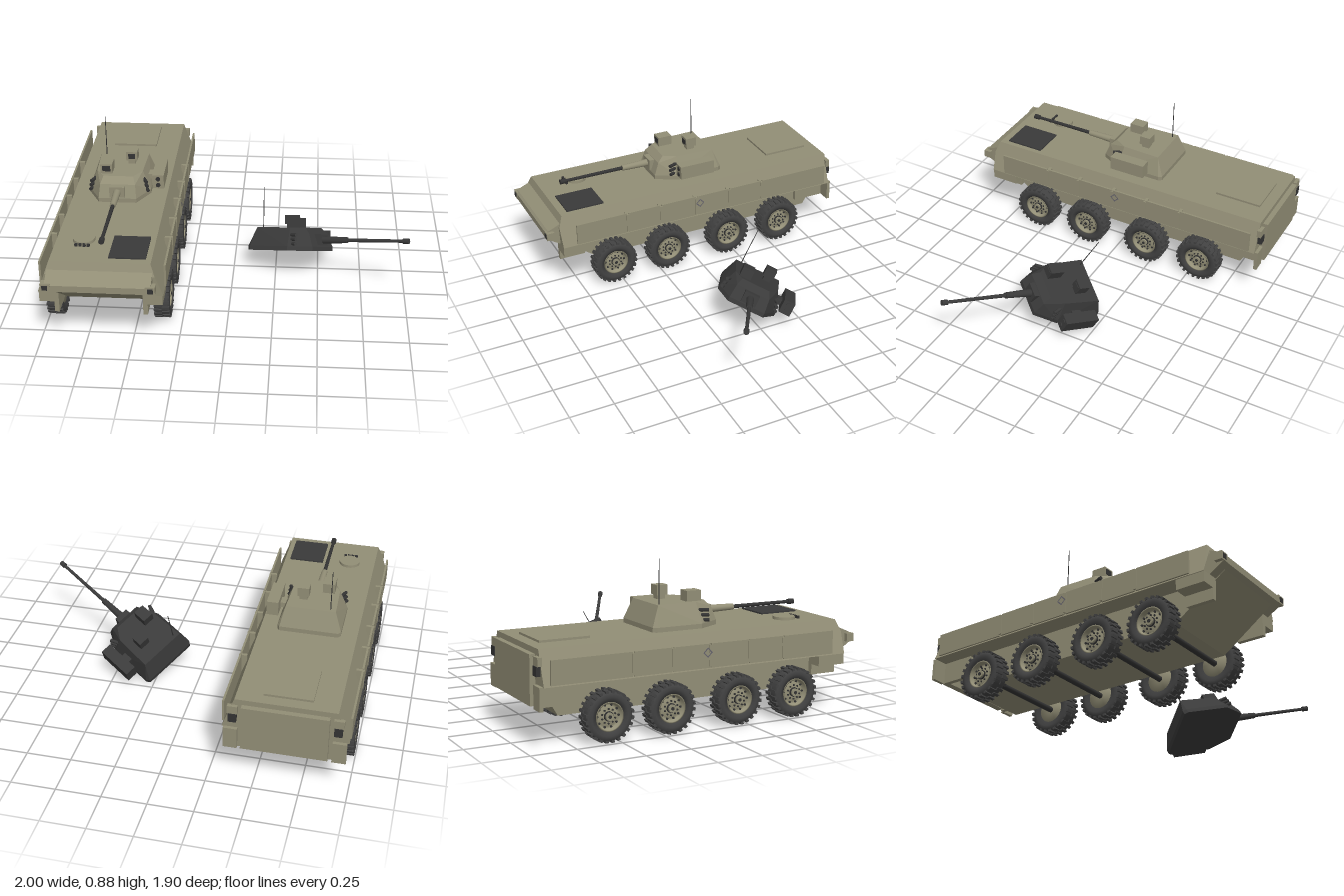
import * as THREE from 'three';
import { ConvexGeometry } from 'three/addons/geometries/ConvexGeometry.js';

const mat = (name, color, side = THREE.FrontSide) => {
  const m = new THREE.MeshStandardMaterial({ color, side });
  m.name = name;
  return m;
};
const paint = mat('olive paint', 0x928e76);
const char = mat('burnt metal', 0x3a3a3a);
const rubber = mat('tyre rubber', 0x424242);
const dark = mat('dark metal', 0x333333);
const mark = mat('marking grey', 0x66646c);

const V = (x, y, z) => new THREE.Vector3(x, y, z);

function add(parent, name, geo, material, x = 0, y = 0, z = 0) {
  const m = new THREE.Mesh(geo, material);
  m.name = name;
  m.position.set(x, y, z);
  parent.add(m);
  return m;
}

// box given by its min and max on each axis
function box(parent, name, material, [x0, x1], [y0, y1], [z0, z1]) {
  return add(parent, name, new THREE.BoxGeometry(x1 - x0, y1 - y0, z1 - z0), material,
    (x0 + x1) / 2, (y0 + y1) / 2, (z0 + z1) / 2);
}

// mirrored pair of boxes on both sides of x = 0
function boxPair(parent, name, material, [a, b], y, z) {
  box(parent, name + 'Left', material, [a, b], y, z);
  box(parent, name + 'Right', material, [-b, -a], y, z);
}

// rod along z from z0 to z1
function rodZ(parent, name, material, r0, r1, x, y, z0, z1, n = 16) {
  const g = new THREE.CylinderGeometry(r1, r0, z1 - z0, n).rotateX(Math.PI / 2);
  return add(parent, name, g, material, x, y, (z0 + z1) / 2);
}

// convex solid from (half width, y, z) points mirrored across x = 0
function solid(parent, name, material, pts) {
  const all = pts.flatMap(([x, y, z]) => [V(x, y, z), V(-x, y, z)]);
  return add(parent, name, new ConvexGeometry(all), material);
}

// turret with gun, sights, launcher and antenna; origin at the ring centre
function makeTurret(name, body, metal) {
  const t = new THREE.Group();
  t.name = name;
  solid(t, 'turretBody', body, [
    [0.165, 0, -0.235], [0.178, 0, -0.215], [0.178, 0, 0.053], [0.108, 0, 0.18],
    [0.165, 0.025, -0.235], [0.178, 0.025, -0.215], [0.178, 0.025, 0.053], [0.108, 0.025, 0.18],
    [0.14, 0.135, -0.19], [0.132, 0.135, 0.04], [0.085, 0.135, 0.115], [0.1, 0.1, 0.152],
  ]);
  // gun
  box(t, 'gunMantlet', body, [-0.044, 0.044], [0.034, 0.098], [0.1, 0.187]);
  rodZ(t, 'gunSleeve', body, 0.022, 0.017, 0, 0.066, 0.18, 0.35);
  rodZ(t, 'gunBarrel', metal, 0.011, 0.009, 0, 0.066, 0.34, 0.74);
  rodZ(t, 'muzzle', metal, 0.015, 0.015, 0, 0.066, 0.715, 0.75);
  // sights
  box(t, 'gunnerSight', body, [-0.106, -0.038], [0.13, 0.192], [0, 0.086]);
  box(t, 'gunnerSightGlass', metal, [-0.095, -0.049], [0.15, 0.182], [0.085, 0.089]);
  box(t, 'commanderSightPost', body, [0.035, 0.078], [0.13, 0.165], [-0.098, -0.052]);
  box(t, 'commanderSight', body, [0.025, 0.09], [0.158, 0.212], [-0.108, -0.042]);
  box(t, 'commanderSightGlass', metal, [0.038, 0.077], [0.17, 0.2], [-0.043, -0.039]);
  // missile launcher
  box(t, 'launcherArm', body, [0.13, 0.2], [0.055, 0.085], [-0.08, -0.02]);
  box(t, 'missileLauncher', body, [0.188, 0.255], [0.04, 0.122], [-0.148, 0.07]);
  for (const y of [0.062, 0.1]) rodZ(t, 'missileTube', metal, 0.013, 0.013, 0.222, y, 0.05, 0.075);
  // smoke launchers
  for (const s of [-1, 1]) for (const y of [0.04, 0.066, 0.092]) {
    const d = rodZ(t, 'smokeLauncher', metal, 0.01, 0.01, s * (0.162 - y * 0.15), y, 0.045, 0.105, 10);
    d.rotation.y = s * 0.4;
  }
  add(t, 'antenna', new THREE.CylinderGeometry(0.002, 0.003, 0.25, 6), metal, -0.108, 0.25, -0.168);
  return t;
}

// wheel with its axle along x, outer face toward +x
function makeWheel() {
  const w = new THREE.Group();
  w.name = 'wheel';
  const profile = [[0.074, -0.036], [0.1, -0.045], [0.121, -0.041], [0.128, -0.03], [0.128, 0.03],
    [0.121, 0.041], [0.1, 0.045], [0.074, 0.036], [0.074, -0.036]].map(p => new THREE.Vector2(...p));
  add(w, 'tyre', new THREE.LatheGeometry(profile, 32).rotateZ(-Math.PI / 2), rubber);
  const lug = new THREE.BoxGeometry(0.042, 0.014, 0.016);
  for (let i = 0; i < 48; i++) {
    const a = i / 48 * Math.PI * 2;
    const m = add(w, 'treadLug', lug, rubber, i % 2 ? 0.022 : -0.022, Math.cos(a) * 0.128, Math.sin(a) * 0.128);
    m.rotation.x = a;
  }
  // dished rim, hub and bolts
  const rim = [[0, 0.022], [0.045, 0.022], [0.054, 0.012], [0.066, 0.016], [0.07, 0.038], [0.077, 0.038],
    [0.077, -0.036], [0, -0.036]].reverse().map(p => new THREE.Vector2(...p));
  add(w, 'rim', new THREE.LatheGeometry(rim, 28).rotateZ(-Math.PI / 2), paint);
  const disc = (name, r, h, m, x, y, z) =>
    add(w, name, new THREE.CylinderGeometry(r, r, h, 14).rotateZ(Math.PI / 2), m, x, y, z);
  disc('hubRing', 0.026, 0.012, dark, 0.024, 0, 0);
  disc('hub', 0.021, 0.028, paint, 0.026, 0, 0);
  disc('hubCap', 0.009, 0.008, dark, 0.04, 0, 0);
  for (let i = 0; i < 10; i++) {
    const a = i / 10 * Math.PI * 2;
    disc('rimBolt', 0.005, 0.008, dark, 0.023, Math.cos(a) * 0.038, Math.sin(a) * 0.038);
    disc('rimHole', 0.006, 0.006, dark, 0.016, Math.cos(a + 0.3) * 0.059, Math.sin(a + 0.3) * 0.059);
  }
  return w;
}

export function createModel() {
  const model = new THREE.Group();
  model.name = 'armouredCarrier';
  const car = new THREE.Group();
  car.name = 'vehicle';
  car.position.x = -0.655;
  model.add(car);

  // hull
  solid(car, 'upperHull', paint, [
    [0.27, 0.5, -0.92], [0.335, 0.32, -0.92], [0.27, 0.5, 0.845], [0.293, 0.435, 0.87], [0.335, 0.32, 0.865],
  ]);
  solid(car, 'nose', paint, [
    [0.28, 0.46, 0.855], [0.28, 0.425, 0.935], [0.28, 0.412, 0.948], [0.28, 0.375, 0.948], [0.28, 0.32, 0.86],
  ]);
  solid(car, 'lowerHull', paint, [
    [0.225, 0.372, 0.94], [0.225, 0.145, 0.63], [0.225, 0.145, -0.8], [0.225, 0.33, -0.91], [0.225, 0.372, -0.91],
  ]);
  boxPair(car, 'frontMudguard', paint, [0.225, 0.25], [0.2, 0.33], [0.71, 0.865]);
  boxPair(car, 'frontFender', paint, [0.25, 0.33], [0.262, 0.322], [0.7, 0.865]);
  boxPair(car, 'rearMudguard', paint, [0.225, 0.25], [0.2, 0.33], [-0.92, -0.73]);
  boxPair(car, 'rearFlap', paint, [0.25, 0.325], [0.2, 0.322], [-0.94, -0.92]);

  // side armour plates
  const edges = [0.785, 0.46, 0.245, 0.01, -0.21, -0.435, -0.89];
  for (let i = 0; i < edges.length - 1; i++) {
    boxPair(car, 'sidePlate', paint, [0.33, 0.341], [0.328, 0.455], [edges[i + 1] + 0.005, edges[i] - 0.005]);
    if (i) boxPair(car, 'plateStrap', paint, [0.3, 0.345], [0.335, 0.448], [edges[i] - 0.009, edges[i] + 0.009]);
  }
  for (const s of [-1, 1]) {
    const d = add(car, 'diamondMark', new THREE.RingGeometry(0.019, 0.028, 4), mark, s * 0.347, 0.41, -0.01);
    d.rotation.y = s * Math.PI / 2;
  }

  // rear ramp and lights
  box(car, 'rearRamp', paint, [-0.23, 0.23], [0.21, 0.47], [-0.95, -0.91]);
  boxPair(car, 'rearLight', dark, [0.255, 0.298], [0.37, 0.42], [-0.945, -0.915]);
  boxPair(car, 'rearBracket', paint, [0.25, 0.305], [0.42, 0.465], [-0.94, -0.915]);
  // headlamps
  boxPair(car, 'headlamp', paint, [0.25, 0.302], [0.375, 0.42], [0.905, 0.95]);
  boxPair(car, 'headlampGlass', dark, [0.262, 0.292], [0.384, 0.411], [0.948, 0.953]);

  // roof fittings
  box(car, 'rearRoofHatch', paint, [-0.131, 0.131], [0.49, 0.512], [-0.855, -0.577]);
  box(car, 'engineGrille', char, [0.04, 0.24], [0.49, 0.508], [0.57, 0.8]);
  add(car, 'driverHatch', new THREE.CylinderGeometry(0.06, 0.062, 0.025, 28), paint, -0.12, 0.503, 0.61);
  for (let i = 0; i < 4; i++)
    box(car, 'periscope', dark, [-0.16 + i * 0.022, -0.144 + i * 0.022], [0.495, 0.515], [0.675, 0.687]);

  // axles and wheels
  for (const z of [0.546, 0.194, -0.21, -0.566]) {
    add(car, 'axle', new THREE.CylinderGeometry(0.016, 0.016, 0.56, 12).rotateZ(Math.PI / 2), dark, 0, 0.135, z);
    for (const s of [-1, 1]) {
      const w = makeWheel();
      w.position.set(s * 0.297, 0.136, z);
      if (s < 0) w.rotation.y = Math.PI;
      car.add(w);
    }
  }

  const turret = makeTurret('turret', paint, dark);
  turret.position.set(-0.002, 0.503, 0);
  car.add(turret);

  // burnt loose turret lying tilted beside the vehicle
  const wreck = makeTurret('burntTurret', char, char);
  const f = V(0.83, 0.29, 0.48).normalize();
  const r = V(0, 0.87, -0.49).cross(f).normalize();
  const u = f.clone().cross(r);
  wreck.quaternion.setFromRotationMatrix(new THREE.Matrix4().makeBasis(r, u, f));
  wreck.position.set(0.374, 0.132, 0.028);
  model.add(wreck);
  return model;
}
